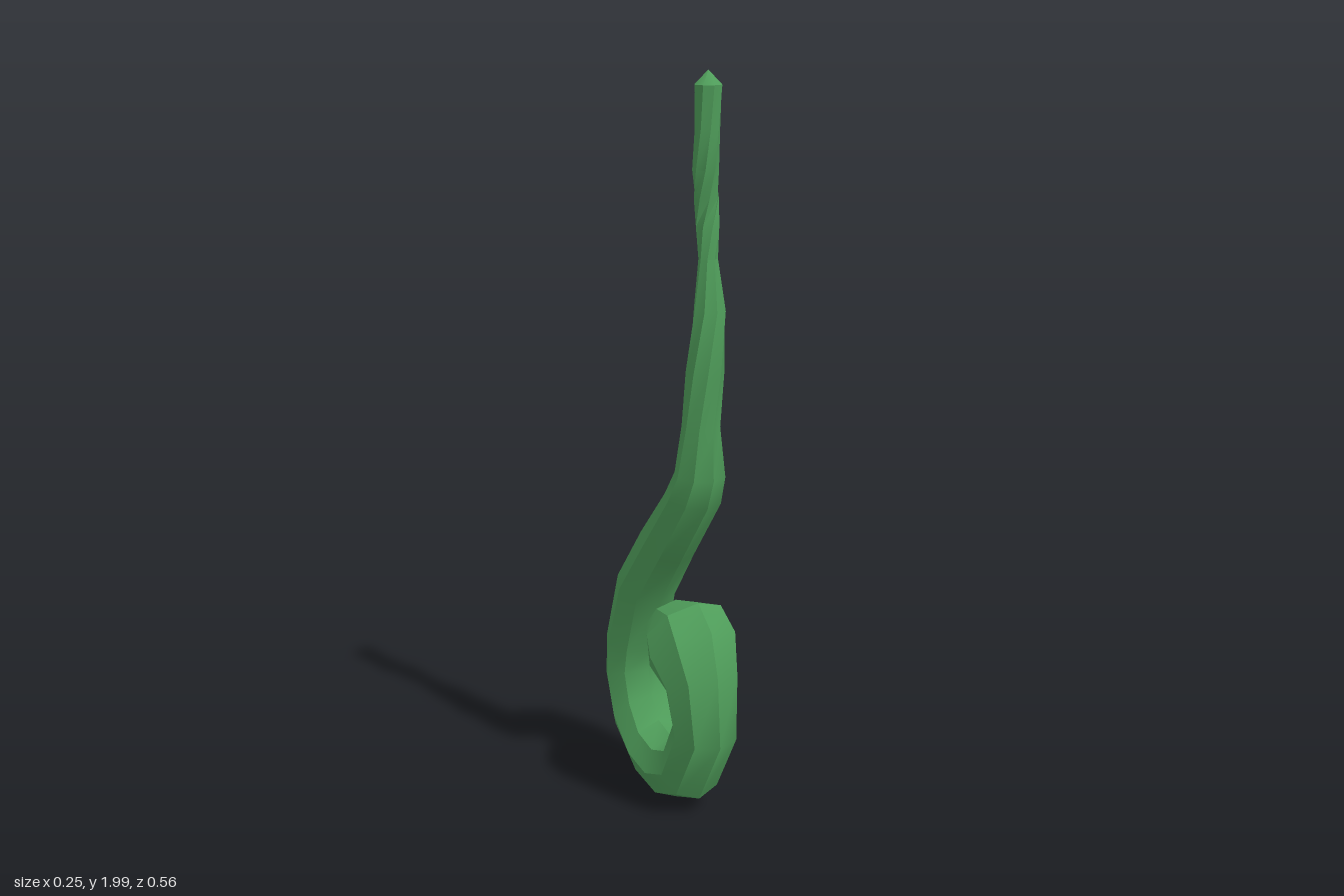
import * as THREE from 'three';
import { toCreasedNormals } from 'three/addons/utils/BufferGeometryUtils.js';

const SIDES = 8;

// Cross-sections: [outer z, outer y, inner z, inner y, half width in x, twist in degrees, x offset]
const curl = [
  [0.037, 0.59, 0.0, 0.47, 0.08],
  [0.16, 0.62, 0.012, 0.435, 0.115],
  [0.23, 0.56, 0.025, 0.4, 0.127],
  [0.265, 0.44, 0.095, 0.36, 0.105],
  [0.28, 0.25, 0.11, 0.28, 0.09],
  [0.17, 0.06, 0.07, 0.2, 0.09],
  [0.04, 0.01, 0.01, 0.18, 0.09],
  [-0.085, 0.03, -0.06, 0.2, 0.09],
  [-0.22, 0.13, -0.1, 0.26, 0.09],
  [-0.28, 0.28, -0.12, 0.33, 0.09],
  [-0.275, 0.41, -0.105, 0.39, 0.09],
  [-0.21, 0.61, -0.055, 0.55, 0.085],
  [-0.08, 0.775, 0.06, 0.7, 0.077],
  [0.05, 0.91, 0.205, 0.89, 0.075],
  [0.1, 0.98, 0.23, 0.97, 0.068, -3],
  [0.13, 1.11, 0.225, 1.105, 0.05, -12, -0.005],
  [0.15, 1.26, 0.245, 1.25, 0.05, -25, -0.005],
  [0.163, 1.42, 0.245, 1.41, 0.042, -42, 0.004],
  [0.175, 1.54, 0.22, 1.54, 0.025, -58, 0.002],
];
const tendril = [
  [0.175, 1.54, 0.22, 1.54, 0.025, -58, 0.002],
  [0.162, 1.62, 0.222, 1.62, 0.032, -85, 0.003],
  [0.155, 1.69, 0.218, 1.69, 0.032, -120, 0.002],
  [0.167, 1.76, 0.232, 1.76, 0.033, -150, -0.008],
  [0.172, 1.86, 0.236, 1.86, 0.032, -165, -0.006],
  [0.17, 1.965, 0.241, 1.965, 0.036, -175, -0.005],
];

// Skins the cross-sections, closing the start flat and the end in a point when given
function loft(rings, startCap, tip) {
  const pos = [], index = [];
  for (const [oz, oy, iz, iy, hx, twist = 0, dx = 0] of rings) {
    const cz = (oz + iz) / 2, cy = (oy + iy) / 2;
    for (let k = 0; k < SIDES; k++) {
      const a = (k / SIDES) * Math.PI * 2 + THREE.MathUtils.degToRad(twist);
      const c = Math.cos(a);
      pos.push(dx + hx * Math.sin(a), cy + c * (oy - cy), cz + c * (oz - cz));
    }
  }
  for (let i = 0; i < rings.length - 1; i++) {
    for (let k = 0; k < SIDES; k++) {
      const a = i * SIDES + k, b = i * SIDES + (k + 1) % SIDES;
      index.push(a, a + SIDES, b, b, a + SIDES, b + SIDES);
    }
  }
  if (startCap) {
    for (let k = 1; k < SIDES - 1; k++) index.push(0, k, k + 1);
  }
  if (tip) {
    const t = pos.length / 3, base = (rings.length - 1) * SIDES;
    pos.push(...tip);
    for (let k = 0; k < SIDES; k++) index.push(t, base + (k + 1) % SIDES, base + k);
  }
  const geo = new THREE.BufferGeometry();
  geo.setAttribute('position', new THREE.Float32BufferAttribute(pos, 3));
  geo.setIndex(index);
  return toCreasedNormals(geo, THREE.MathUtils.degToRad(33));
}

export function createModel() {
  const group = new THREE.Group();
  group.name = 'curledVine';
  const green = new THREE.MeshStandardMaterial({ color: 0x4f9d5a });
  green.name = 'vineGreen';

  // Thick stem with its rolled-up head
  const stem = new THREE.Mesh(loft(curl, true, null), green);
  stem.name = 'curledStem';

  // Thin twisted end with a pointed tip
  const end = new THREE.Mesh(loft(tendril, false, [-0.005, 2, 0.205]), green);
  end.name = 'twistedTendril';

  group.add(stem, end);
  return group;
}
